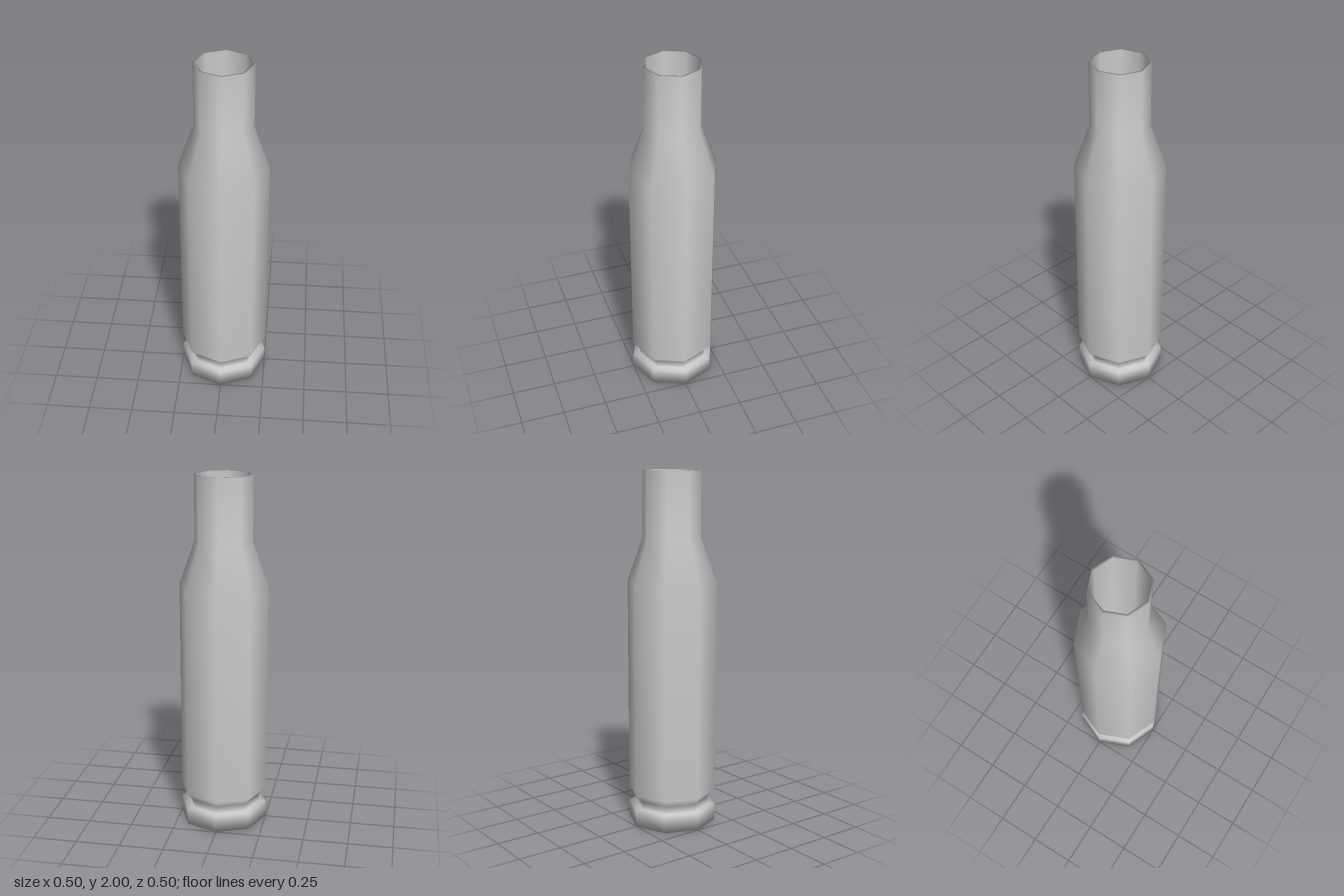
import * as THREE from 'three';

export function createModel() {
  const model = new THREE.Group();
  model.name = 'cartridgeCase';

  // Profile (radius, height): up the outside, over the mouth, down the bore
  const profile = [
    [0, 0], [0.25, 0],                  // base
    [0.25, 0.095], [0.21, 0.095],       // rim
    [0.21, 0.14], [0.25, 0.185],        // extractor groove and bevel
    [0.25, 1.39], [0.162, 1.635],       // body and shoulder
    [0.162, 2], [0.148, 2],             // neck and mouth lip
    [0.148, 0.2], [0, 0.2],             // bore and its floor
  ].map(([r, y]) => new THREE.Vector2(r, y));

  // Eight-sided, smooth-shaded hollow case
  const shell = new THREE.Mesh(
    new THREE.LatheGeometry(profile, 8),
    new THREE.MeshStandardMaterial({ color: 0xcccccc })
  );
  shell.name = 'caseShell';
  model.add(shell);
  return model;
}
